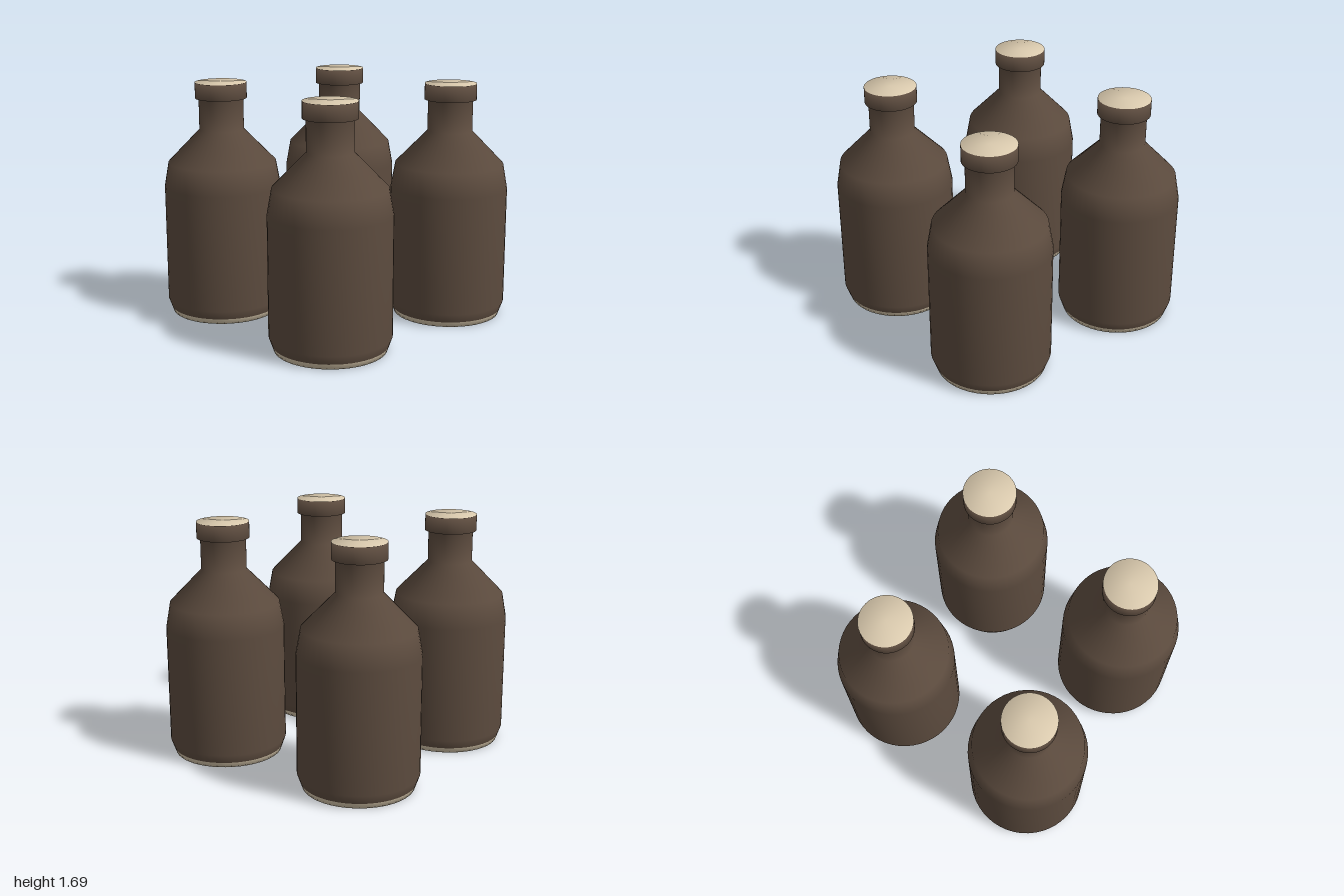
import * as THREE from 'three';

const SEGMENTS = 48;

// Bottle outline from the centre of the base to the centre of the lid: radius, height
const PROFILE = [
  [0, 0], [0.385, 0], [0.398, 0.038], [0.42, 0.1], [0.42, 0.94], [0.388, 1.115],
  [0.16, 1.35], [0.16, 1.575], [0.185, 1.575], [0.185, 1.69], [0, 1.69],
].map(([r, y]) => new THREE.Vector2(r, y));

// Keep only the bands from..to of the full lathe, so normals stay smooth across colours
function bands(lathe, from, to) {
  const geometry = lathe.clone();
  const n = PROFILE.length;
  const index = [];
  for (let i = 0; i < SEGMENTS; i++) {
    for (let j = from; j < to; j++) {
      const a = i * n + j, b = a + n;
      index.push(a, b, a + 1, b + 1, a + 1, b);
    }
  }
  geometry.setIndex(index);
  return geometry;
}

export function createModel() {
  const brown = new THREE.MeshStandardMaterial({ color: 0x5c4b3e });
  brown.name = 'brown glass';
  const cream = new THREE.MeshStandardMaterial({ color: 0xd9c9ad });
  cream.name = 'cream';

  const lathe = new THREE.LatheGeometry(PROFILE, SEGMENTS);
  const parts = [
    ['base', bands(lathe, 0, 2), cream],
    ['body', bands(lathe, 2, 9), brown],
    ['lidTop', bands(lathe, 9, 10), cream],
  ];

  // Four bottles in a square
  const model = new THREE.Group();
  model.name = 'bottles';
  for (const x of [-0.58, 0.58]) {
    for (const z of [-0.58, 0.58]) {
      const bottle = new THREE.Group();
      bottle.name = 'bottle';
      for (const [name, geometry, material] of parts) {
        const mesh = new THREE.Mesh(geometry, material);
        mesh.name = name;
        bottle.add(mesh);
      }
      bottle.position.set(x, 0, z);
      model.add(bottle);
    }
  }
  return model;
}
